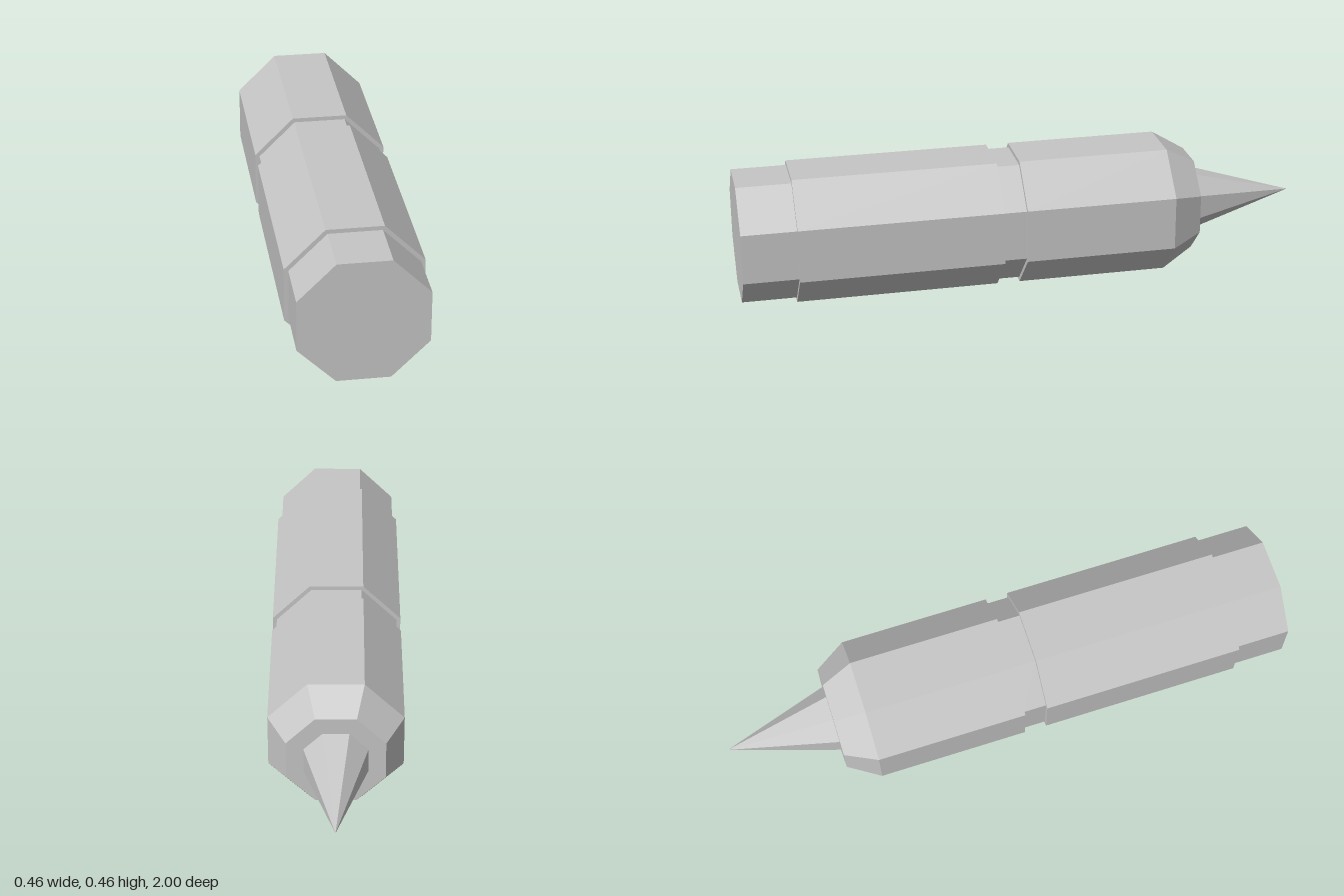
import * as THREE from 'three';

const AXIS_HEIGHT = 0.2275;
const SIDES = 8;

export function createModel() {
  const model = new THREE.Group();
  const grey = new THREE.MeshStandardMaterial({ color: 0xc6c6c6, flatShading: true });
  grey.name = 'plain grey';

  // Octagonal section along z; profile is [flat-to-centre distance, z], front to back
  function addSection(name, profile) {
    const points = profile.map(([a, z]) => new THREE.Vector2(a / Math.cos(Math.PI / SIDES), -z));
    const geometry = new THREE.LatheGeometry(points, SIDES, Math.PI / SIDES)
      .rotateX(-Math.PI / 2)
      .toNonIndexed();
    geometry.computeVertexNormals();
    const mesh = new THREE.Mesh(geometry, grey);
    mesh.name = name;
    mesh.position.y = AXIS_HEIGHT;
    model.add(mesh);
  }

  const outer = 0.2275, inner = 0.213, nose = 0.165, tip = 0.107;

  // Closed end plug
  addSection('endCap', [[0, 1], [inner, 1], [inner, 0.81]]);
  // Front barrel with a shoulder at each end
  addSection('frontBarrel', [[inner, 0.81], [outer, 0.81], [outer, 0.1], [inner, 0.1]]);
  // Recessed band between the barrels
  addSection('groove', [[inner, 0.1], [inner, 0.02]]);
  // Rear barrel with its bevelled nose
  addSection('rearBarrel', [[inner, 0.02], [outer, 0.02], [outer, -0.51], [nose, -0.62], [tip, -0.62]]);
  // Pointed spike
  addSection('spike', [[tip, -0.62], [0, -1]]);

  return model;
}
